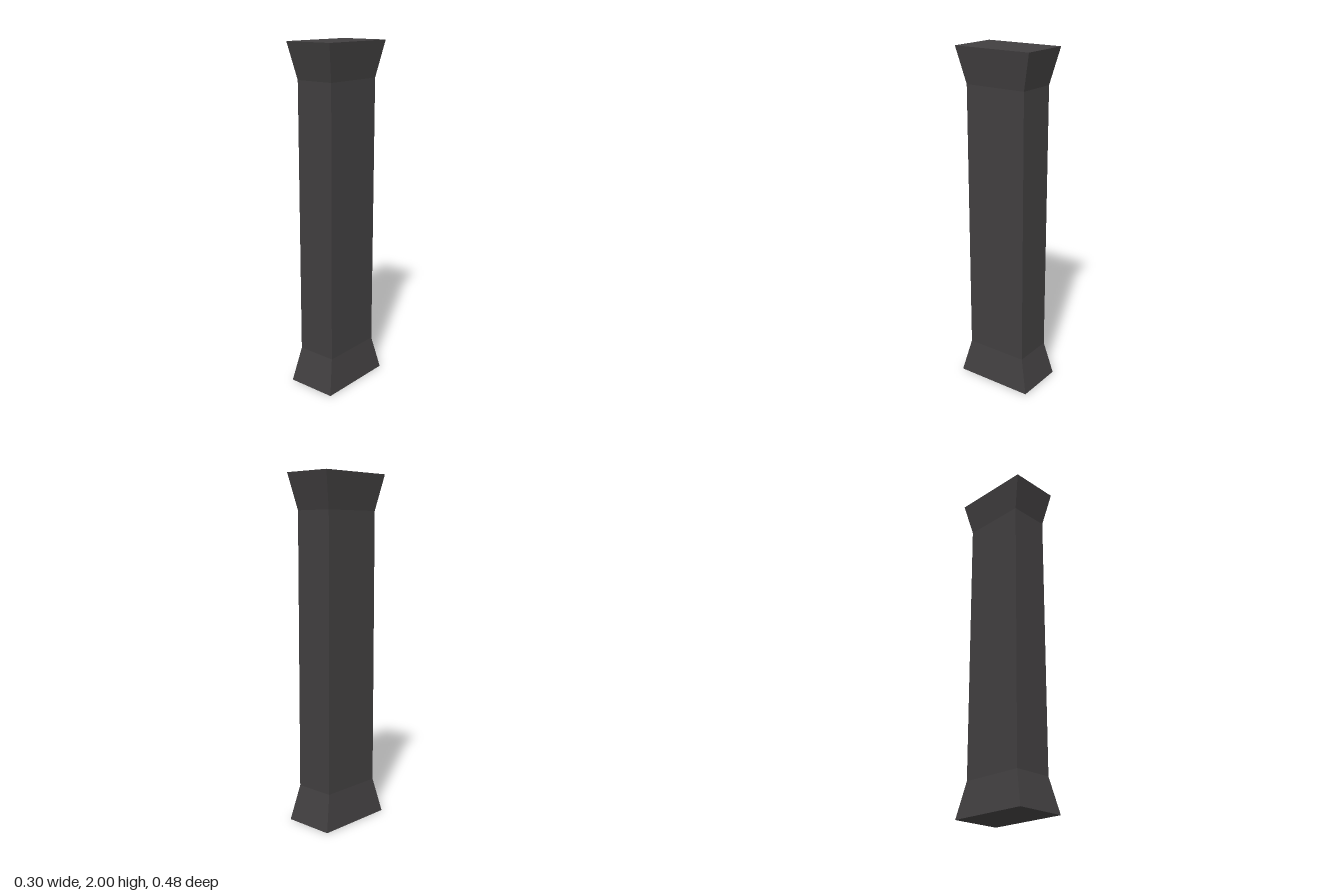
import * as THREE from 'three';

const HEIGHT = 2, WIDTH = 0.3, DEPTH = 0.478;
const FLARE = 0.205;        // height of the flared base and capital
const SHAFT_SCALE = 0.79;   // shaft section relative to the flared ends

export function createModel() {
  const group = new THREE.Group();
  group.name = 'pillar';

  // One closed box with three levels: flared base, straight shaft, flared capital
  const geometry = new THREE.BoxGeometry(WIDTH, HEIGHT, DEPTH, 1, 3, 1);
  geometry.translate(0, HEIGHT / 2, 0);

  // Narrow the two inner rings and move them to the ends of the shaft
  const pos = geometry.attributes.position;
  for (let i = 0; i < pos.count; i++) {
    const y = pos.getY(i);
    if (y < 0.01 || y > HEIGHT - 0.01) continue;
    pos.setXYZ(
      i,
      pos.getX(i) * SHAFT_SCALE,
      y < HEIGHT / 2 ? FLARE : HEIGHT - FLARE,
      pos.getZ(i) * SHAFT_SCALE
    );
  }

  // Separate the faces so every edge stays crisp
  const faceted = geometry.toNonIndexed();
  faceted.computeVertexNormals();

  const material = new THREE.MeshStandardMaterial({ color: 0x413f40, flatShading: true });
  const column = new THREE.Mesh(faceted, material);
  column.name = 'flaredColumn';
  group.add(column);
  return group;
}
